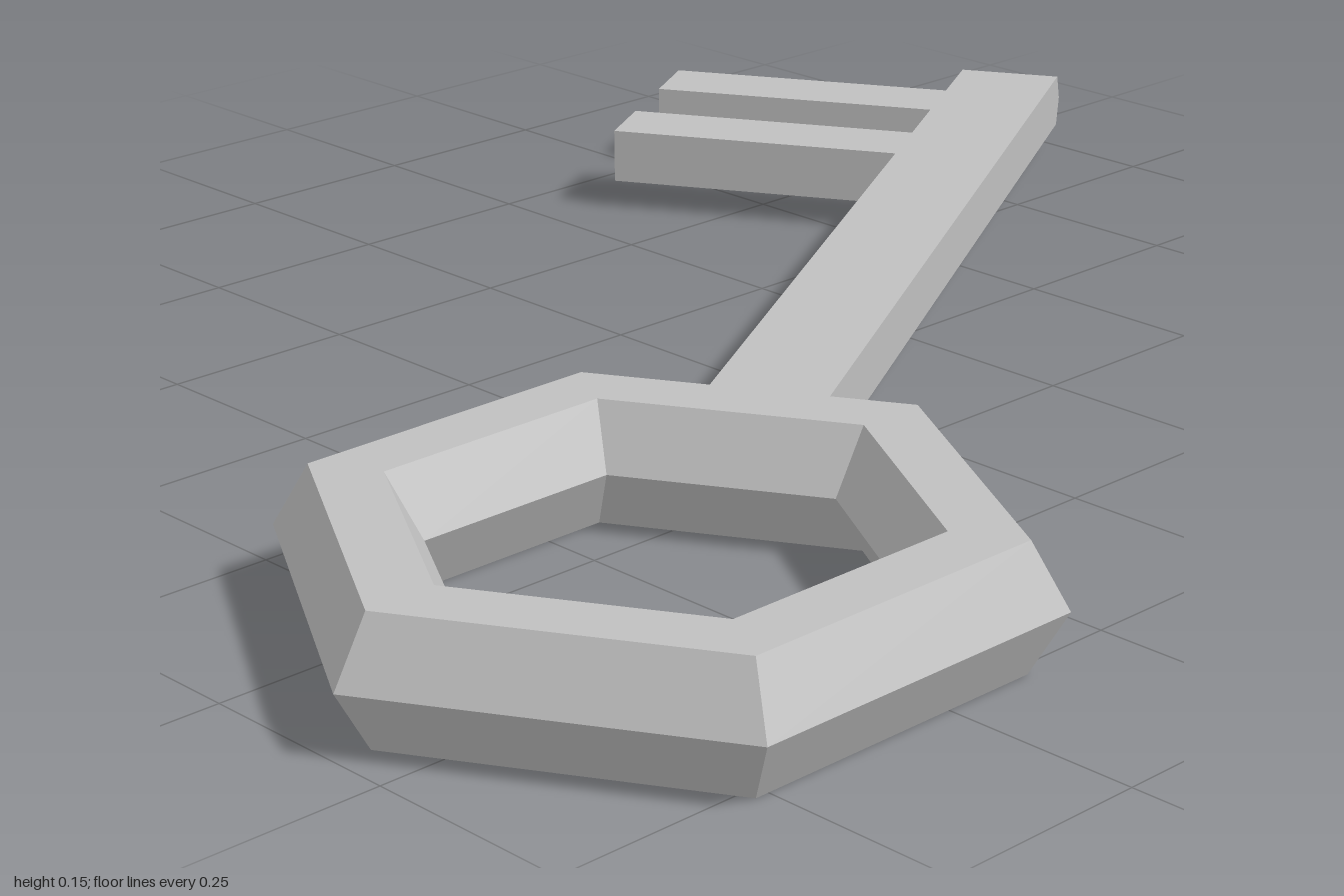
import * as THREE from 'three';

const MID = 0.073;    // height of the key's middle plane
const HALF = 0.036;   // half thickness of shaft and teeth
const RIDGE = 0.017;  // how far the ridged end stands out

// Bar from u0 to u1 along the key and v0 to v1 across it, ridged at its far end
function bar(name, u0, u1, v0, v1, material) {
  const profile = new THREE.Shape([
    new THREE.Vector2(u0, MID - HALF),
    new THREE.Vector2(u1 - RIDGE, MID - HALF),
    new THREE.Vector2(u1, MID),
    new THREE.Vector2(u1 - RIDGE, MID + HALF),
    new THREE.Vector2(u0, MID + HALF),
  ]);
  const geometry = new THREE.ExtrudeGeometry(profile, { depth: v1 - v0, bevelEnabled: false });
  geometry.translate(0, 0, -v1);
  const mesh = new THREE.Mesh(geometry, material);
  mesh.name = name;
  return mesh;
}

export function createModel() {
  const metal = new THREE.MeshStandardMaterial({ color: 0xc0c0c0 });
  metal.name = 'greyMetal';

  const key = new THREE.Group();
  key.name = 'key';
  key.position.set(-0.575, 0, 0.435);

  // Hexagonal ring with a hexagonal section, faceted
  const ringGeometry = new THREE.TorusGeometry(0.341, 0.0845, 6, 6).toNonIndexed();
  ringGeometry.computeVertexNormals();
  ringGeometry.rotateX(-Math.PI / 2);
  const ring = new THREE.Mesh(ringGeometry, metal);
  ring.name = 'bowRing';
  ring.position.y = MID;
  key.add(ring);

  // Shaft and two teeth, turned away from the ring's flat side
  const blade = new THREE.Group();
  blade.name = 'blade';
  blade.rotation.y = Math.PI / 6;
  blade.add(bar('shaft', 0.3, 1.779, -0.07, 0.07, metal));
  [1.336, 1.55].forEach((u, i) => {
    blade.add(bar(['innerTooth', 'outerTooth'][i], u, u + 0.117, 0.07, 0.468, metal));
  });
  key.add(blade);

  const model = new THREE.Group();
  model.name = 'model';
  model.add(key);
  return model;
}
